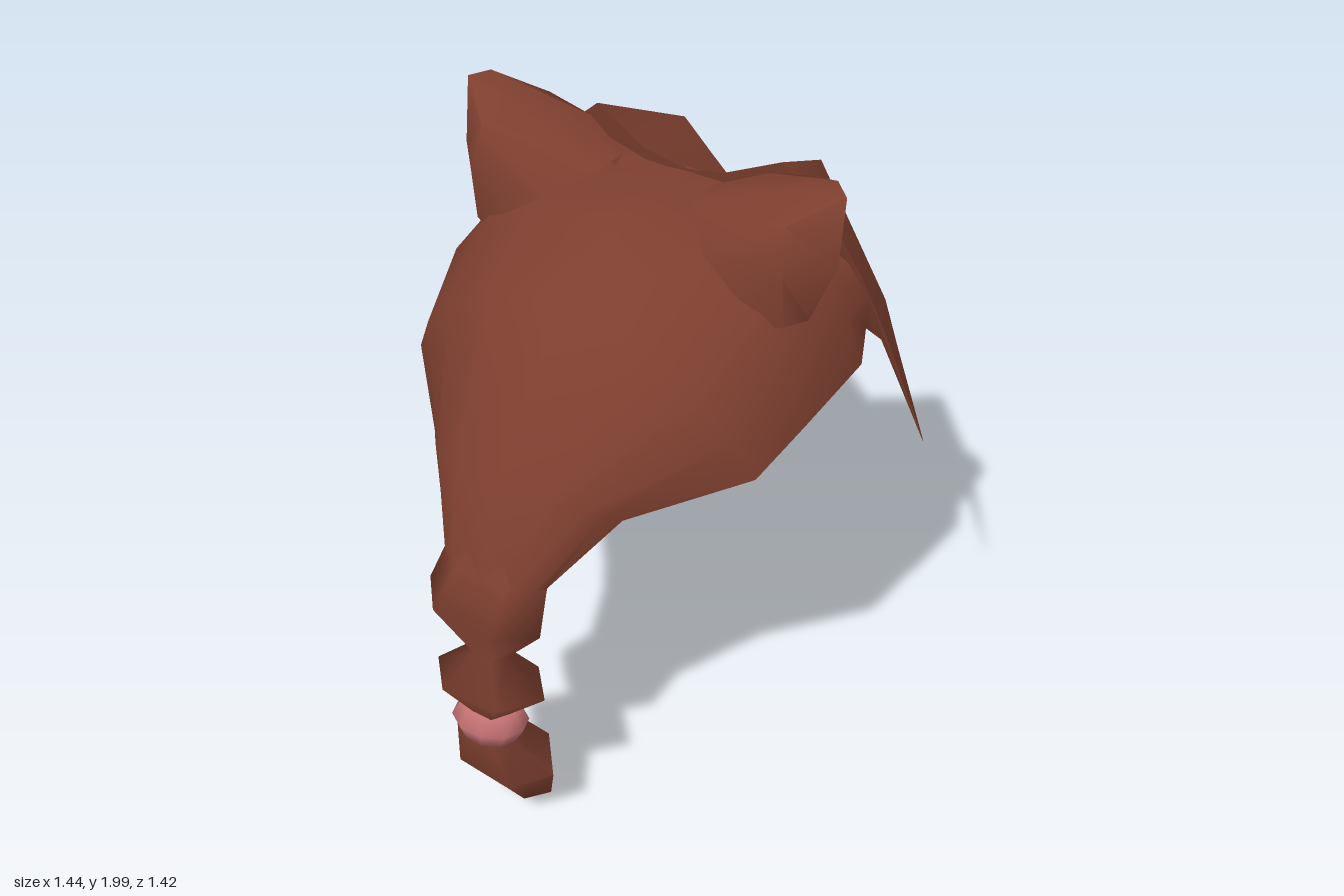
import * as THREE from 'three';
import { toCreasedNormals } from 'three/addons/utils/BufferGeometryUtils.js';

// Skin closed cross-section loops (each a list of [x, y, z]) into one surface
function loft(rows, crease = 1.0) {
  const n = rows[0].length, index = [];
  for (let i = 0; i < rows.length - 1; i++) {
    for (let j = 0; j < n; j++) {
      const a = i * n + j, b = i * n + (j + 1) % n;
      index.push(a, a + n, b, b, a + n, b + n);
    }
  }
  const geo = new THREE.BufferGeometry();
  geo.setAttribute('position', new THREE.Float32BufferAttribute(rows.flat(2), 3));
  geo.setIndex(index);
  return toCreasedNormals(geo, crease);
}

const flip = ([x, y, z]) => [-x, y, z];

// Six-sided rings: [y, centre x, centre z, half width, half depth, rise to +x, rise to -z]
function rings(list, sides = 6) {
  return list.map(([y, cx, cz, rx, rz, tx = 0, tz = 0]) => Array.from({ length: sides }, (_, k) => {
    const a = k / sides * Math.PI * 2, c = Math.cos(a), s = Math.sin(a);
    return [cx + rx * c, y + tx * c + tz * s, cz - rz * s / 0.87];
  }));
}

export function createModel() {
  const group = new THREE.Group();
  const hair = new THREE.MeshStandardMaterial({ color: 0x7d3f2f, side: THREE.DoubleSide });
  hair.name = 'brown hair';
  const band = new THREE.MeshStandardMaterial({ color: 0xc27072 });
  band.name = 'pink band';
  const inner = new THREE.MeshStandardMaterial({ color: 0xa58078, side: THREE.DoubleSide });
  inner.name = 'inner ear';
  const add = (name, geo, mat, parent = group) => {
    const mesh = new THREE.Mesh(geo, mat);
    mesh.name = name;
    parent.add(mesh);
    return mesh;
  };

  // Cap: half sections from top centre, over the side, to bottom centre
  const capHalves = [
    [[0, 1.79, -.36], [.28, 1.80, -.36], [.49, 1.63, -.40], [.54, 1.53, -.43], [.53, 1.41, -.46], [0, 1.31, -.42]],
    [[0, 1.805, -.2], [.3, 1.78, -.2], [.48, 1.67, -.22], [.57, 1.57, -.25], [.605, 1.40, -.30], [0, 1.235, -.2]],
    [[0, 1.805, 0], [.28, 1.75, 0], [.44, 1.65, 0], [.55, 1.52, 0], [.585, 1.34, -.05], [0, 1.17, 0]],
    [[0, 1.675, .26], [.24, 1.62, .25], [.40, 1.51, .22], [.51, 1.39, .19], [.56, 1.28, .17], [0, 1.085, .25]],
    [[0, 1.26, .56], [.15, 1.26, .54], [.24, 1.24, .50], [.28, 1.22, .46], [.31, 1.195, .42], [0, 1.03, .42]],
    [[0, 1.0, .64], [.1, 1.0, .63], [.15, 1.0, .60], [.17, 1.0, .57], [.16, 1.0, .53], [0, 1.0, .5]],
  ];
  const capRows = capHalves.map(h => [...h, ...h.slice(1, -1).reverse().map(flip)]);
  add('hairCap', loft(capRows), hair);

  // Bangs: sections (ridge, lower edge, edge meeting the cap's underside) from centre to tip
  const bangs = [
    [[0, 1.80, -.33], [0, 1.63, -.60], [0, 1.31, -.42]],
    [[.13, 1.83, -.32], [.12, 1.68, -.65], [.13, 1.335, -.43]],
    [[.30, 1.905, -.345], [.23, 1.735, -.69], [.26, 1.36, -.44]],
    [[.45, 1.77, -.36], [.35, 1.53, -.70], [.42, 1.39, -.45]],
    [[.53, 1.57, -.425], [.46, 1.34, -.71], [.52, 1.405, -.46]],
    [[.585, 1.40, -.47], [.545, 1.25, -.64], [.565, 1.36, -.49]],
    [[.72, 1.07, -.50], [.72, 1.065, -.50], [.72, 1.065, -.50]],
  ];
  const bangRows = [...bangs.slice(1).reverse().map(s => s.map(flip)), ...bangs];
  add('bangs', loft(bangRows, 1.15), hair);

  // Braid above the band and the tail below it
  add('braid', loft(rings([
    [1.05, 0, .56, .13, .06], [1.0, 0, .57, .17, .07], [.86, -.025, .597, .187, .107, -.02, -.01],
    [.73, 0, .615, .06, .035], [.615, -.005, .61, .187, .10, .015, .01],
    [.49, -.01, .60, .05, .045], [.42, -.02, .59, .05, .045],
  ]), 2.2), hair);
  add('braidTail', loft(rings([
    [.44, -.02, .59, .05, .045], [.38, -.02, .59, .06, .05], [.27, -.03, .53, .175, .10, -.02, .035],
    [.115, -.02, .47, .11, .06, -.015, .02], [.01, -.13, .42, .004, .004],
  ]), 1.5), hair);

  // Band around the braid
  const torus = new THREE.TorusGeometry(.06, .055, 6, 10).rotateX(Math.PI / 2);
  const tie = add('braidBand', torus, band);
  tie.position.set(-.028, .443, .59);
  tie.scale.set(1, 1.05, .88);
  tie.rotation.x = -.12;

  // Ears: loops from the buried base, through the back, to the open rim
  const base = [[.40, 1.60, 0], [.38, 1.68, 0], [.26, 1.77, -.02], [.15, 1.835, -.14], [.15, 1.835, -.25], [.20, 1.75, -.27]];
  const back = [[.50, 1.62, -.04], [.50, 1.78, -.02], [.48, 1.91, -.05], [.38, 1.935, -.15], [.29, 1.89, -.30], [.28, 1.77, -.31]];
  const rim = [[.53, 1.61, -.12], [.60, 1.79, -.13], [.60, 1.985, -.15], [.55, 2.0, -.19], [.42, 1.93, -.285], [.34, 1.77, -.34]];
  const centre = [.49, 1.80, -.22];
  const lip = rim.map(p => p.map((v, i) => centre[i] + (v - centre[i]) * .85 + [-.008, 0, .008][i]));
  const pit = rim.map(() => [.46, 1.79, -.195]);
  for (const side of [1, -1]) {
    const ear = new THREE.Group();
    ear.name = side > 0 ? 'leftEar' : 'rightEar';
    ear.scale.x = side;
    add('earShell', loft([base, back, rim, lip], 1.2), hair, ear);
    add('earInside', loft([lip, pit]), inner, ear);
    group.add(ear);
  }
  return group;
}
